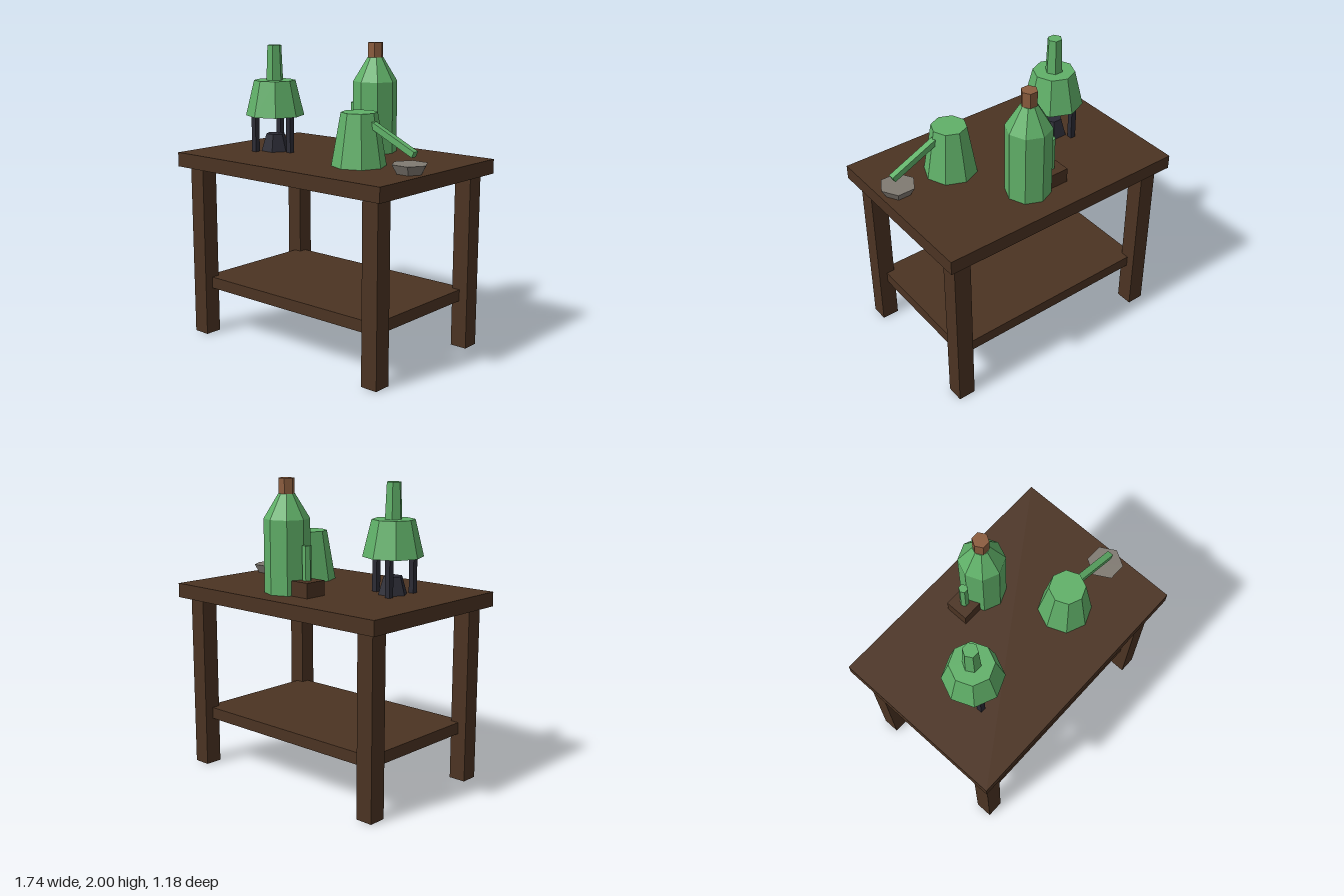
import * as THREE from 'three';

const paint = (name, color) => {
  const m = new THREE.MeshStandardMaterial({ color, flatShading: true });
  m.name = name;
  return m;
};

export function createModel() {
  const wood = paint('dark wood', 0x4b3322);
  const glass = paint('green glass', 0x60b068);
  const iron = paint('dark iron', 0x2b2b35);
  const cork = paint('cork', 0x8a5c3e);
  const stone = paint('grey stone', 0x807a72);

  const model = new THREE.Group();
  model.name = 'alchemyTable';
  const group = (name, x, y, z) => {
    const g = new THREE.Group();
    g.name = name;
    g.position.set(x, y, z);
    model.add(g);
    return g;
  };
  const box = (parent, name, mat, w, h, d, x, y, z) => {
    const mesh = new THREE.Mesh(new THREE.BoxGeometry(w, h, d), mat);
    mesh.name = name;
    mesh.position.set(x, y, z);
    parent.add(mesh);
    return mesh;
  };
  // Faceted frustum standing on y, with a corner pointing along x
  const frustum = (parent, name, mat, rTop, rBottom, h, sides, y) => {
    const geo = new THREE.CylinderGeometry(rTop, rBottom, h, sides);
    geo.rotateY(Math.PI / 2);
    const mesh = new THREE.Mesh(geo, mat);
    mesh.name = name;
    mesh.position.y = y + h / 2;
    parent.add(mesh);
    return mesh;
  };

  // Table: top, four legs, and a shelf running into the leg centres
  const table = group('table', 0, 0, 0);
  box(table, 'tableTop', wood, 1.74, 0.096, 1.185, 0, 1.22, 0);
  box(table, 'shelf', wood, 1.5, 0.078, 0.945, 0, 0.359, 0);
  for (const sx of [-1, 1]) {
    for (const sz of [-1, 1]) {
      box(table, 'tableLeg', wood, 0.117, 1.175, 0.117, sx * 0.752, 0.5875, sz * 0.474);
    }
  }

  const topY = 1.268;

  // Flask held on a three-legged stand above a burner
  const still = group('flaskOnStand', -0.438, topY, 0.095);
  frustum(still, 'burner', iron, 0.063, 0.098, 0.117, 6, 0);
  for (let i = 0; i < 3; i++) {
    const a = (i * Math.PI * 2) / 3;
    box(still, 'standLeg', iron, 0.037, 0.25, 0.037, 0.138 * Math.cos(a), 0.125, 0.138 * Math.sin(a));
  }
  frustum(still, 'flaskBody', glass, 0.139, 0.197, 0.237, 8, 0.242);
  frustum(still, 'flaskNeck', glass, 0.048, 0.058, 0.235, 6, 0.477);

  // Tall corked bottle
  const bottle = group('bottle', 0.096, topY, -0.32);
  frustum(bottle, 'bottleBody', glass, 0.148, 0.148, 0.477, 8, 0);
  frustum(bottle, 'bottleShoulder', glass, 0.053, 0.148, 0.157, 8, 0.477);
  frustum(bottle, 'bottleCork', cork, 0.053, 0.053, 0.098, 6, 0.634);

  // Vial standing in a small wooden block
  const vial = group('vialHolder', -0.079, topY, -0.32);
  box(vial, 'vialBlock', wood, 0.156, 0.098, 0.156, 0, 0.049, 0);
  frustum(vial, 'vial', glass, 0.03, 0.03, 0.245, 6, 0.075);

  // Retort with a spout sloping down to a dish
  const retort = group('retort', 0.354, topY, 0.156);
  frustum(retort, 'retortBody', glass, 0.116, 0.175, 0.337, 8, 0);
  const spout = box(retort, 'retortSpout', glass, 0.39, 0.04, 0.042, 0.256, 0.2, 0);
  spout.rotation.z = -0.436;

  const dish = group('dish', 0.752, topY, 0.156);
  frustum(dish, 'dishBowl', stone, 0.118, 0.086, 0.059, 6, 0);

  return model;
}
